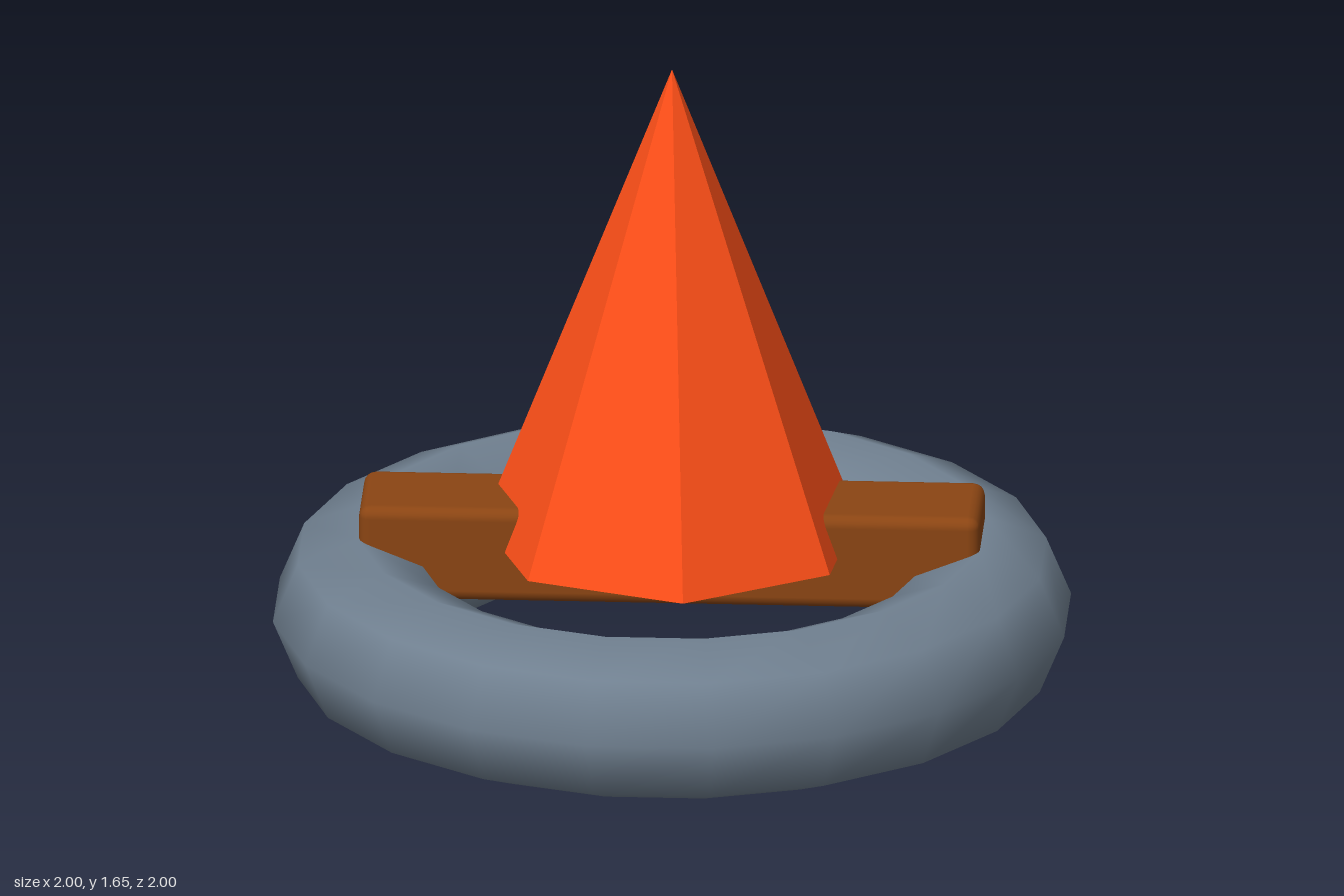
import * as THREE from 'three';
import { RoundedBoxGeometry } from 'three/addons/geometries/RoundedBoxGeometry.js';

function addPart(group, name, geometry, color, flatShading = false) {
  const material = new THREE.MeshStandardMaterial({ color, flatShading });
  const mesh = new THREE.Mesh(geometry, material);
  mesh.name = name;
  group.add(mesh);
  return mesh;
}

export function createModel() {
  const group = new THREE.Group();
  group.name = 'coneOnRing';

  // Smooth ring lying on the ground
  const tube = 0.213;
  const ring = addPart(group, 'ring', new THREE.TorusGeometry(1 - tube, tube, 8, 20), 0x708090);
  ring.rotation.x = -Math.PI / 2;
  ring.position.y = tube;

  // Rounded plank resting diagonally across the ring
  const top = 0.515, bottom = 0.27;
  const plank = addPart(group, 'plank',
    new RoundedBoxGeometry(1.55, top - bottom, 0.288, 2, 0.03), 0x8b4513);
  plank.rotation.y = Math.PI / 4;
  plank.position.y = (top + bottom) / 2;

  // Seven-sided faceted cone standing on the middle, one edge facing the front
  const base = 0.405, apex = 1.647;
  const cone = addPart(group, 'cone', new THREE.ConeGeometry(0.482, apex - base, 7), 0xff4f18, true);
  cone.position.y = (base + apex) / 2;

  return group;
}
